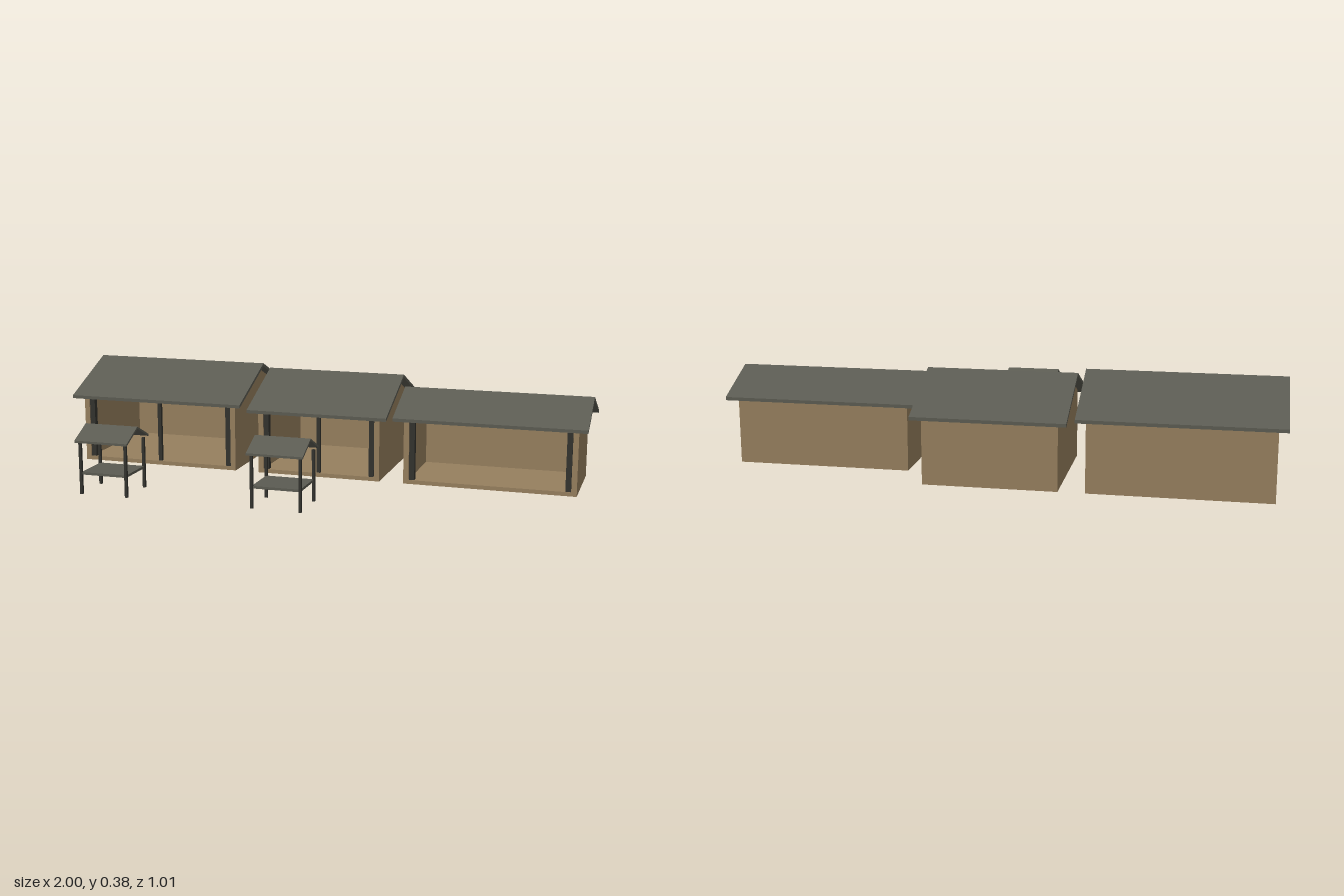
import * as THREE from 'three';

const mat = (name, color, side = THREE.FrontSide) => {
  const m = new THREE.MeshStandardMaterial({ color, side });
  m.name = name;
  return m;
};

export function createModel() {
  const wood = mat('tan wood', 0x967f5e);
  const slate = mat('grey roofing', 0x5b5b52);
  const dark = mat('dark timber', 0x32322e);
  const root = new THREE.Group();
  root.name = 'marketRow';

  const add = (parent, name, geo, material, x = 0, y = 0, z = 0) => {
    const mesh = new THREE.Mesh(geo, material);
    mesh.name = name;
    mesh.position.set(x, y, z);
    parent.add(mesh);
    return mesh;
  };
  // Box given by its extents on each axis
  const box = (parent, name, material, [x0, x1], [y0, y1], [z0, z1]) =>
    add(parent, name, new THREE.BoxGeometry(x1 - x0, y1 - y0, z1 - z0), material,
      (x0 + x1) / 2, (y0 + y1) / 2, (z0 + z1) / 2);
  // Profile of [z, y] points swept along x, centred on x = 0
  const sweep = (points, width) => {
    const shape = new THREE.Shape(points.map(([z, y]) => new THREE.Vector2(-z, y)));
    const geo = new THREE.ExtrudeGeometry(shape, { depth: width, bevelEnabled: false });
    return geo.translate(0, 0, -width / 2).rotateY(Math.PI / 2);
  };
  // Two-slope roof slab
  const gableRoof = (parent, width, zMid, half, ridge, drop, t) =>
    add(parent, 'roof', sweep([
      [zMid + half, ridge - drop], [zMid, ridge], [zMid - half, ridge - drop],
      [zMid - half, ridge - drop - t], [zMid, ridge - t], [zMid + half, ridge - drop - t],
    ], width), slate);

  // Open-fronted shop with gabled side walls
  const shop = (name, x, wallW, roofW, zBack, ridge, middlePost) => {
    const g = new THREE.Group();
    g.name = name;
    g.position.x = x;
    root.add(g);
    const zFront = 0.005, slope = 0.435, t = 0.012, thick = 0.02;
    const zMid = (zFront + zBack) / 2, half = (zFront - zBack) / 2, w = wallW / 2;
    const eave = ridge - t - half * slope;
    for (const s of [-1, 1])
      add(g, 'gableWall', sweep([
        [zFront, 0], [zFront, eave], [zMid, ridge - t], [zBack, eave], [zBack, 0],
      ], thick), wood, s * (w - thick / 2));
    box(g, 'backWall', wood, [-w + thick, w - thick], [0, eave], [zBack, zBack + thick]);
    box(g, 'floor', wood, [-w + thick, w - thick], [0, 0.015], [zBack + thick, zFront]);
    for (const s of [-1, 1]) {
      const px = s * (w - 0.031);
      box(g, 'cornerPost', dark, [px - 0.01, px + 0.01], [0.015, eave + 0.004], [-0.018, 0.002]);
    }
    if (middlePost)
      box(g, 'middlePost', dark, [-0.007, 0.007], [0.015, eave + 0.004], [-0.014, 0]);
    gableRoof(g, roofW, zMid, half + 0.036, ridge, (half + 0.036) * slope, t);
  };
  shop('largeShop', -0.65, 0.635, 0.7, -0.468, 0.383, true);
  shop('middleShop', 0, 0.476, 0.543, -0.468, 0.367, true);
  shop('smallShop', 0.648, 0.635, 0.704, -0.311, 0.336, false);

  // Free-standing roofed stalls
  for (const x of [-0.65, 0]) {
    const g = new THREE.Group();
    g.name = 'stall';
    g.position.set(x, 0, 0.413);
    root.add(g);
    for (const sx of [-1, 1])
      for (const sz of [-1, 1])
        add(g, 'stallPost', new THREE.BoxGeometry(0.01, 0.187, 0.01), dark, sx * 0.088, 0.0935, sz * 0.075);
    box(g, 'shelf', slate, [-0.088, 0.088], [0.071, 0.08], [-0.075, 0.075]);
    gableRoof(g, 0.204, 0, 0.091, 0.243, 0.045, 0.008);
  }
  return root;
}
